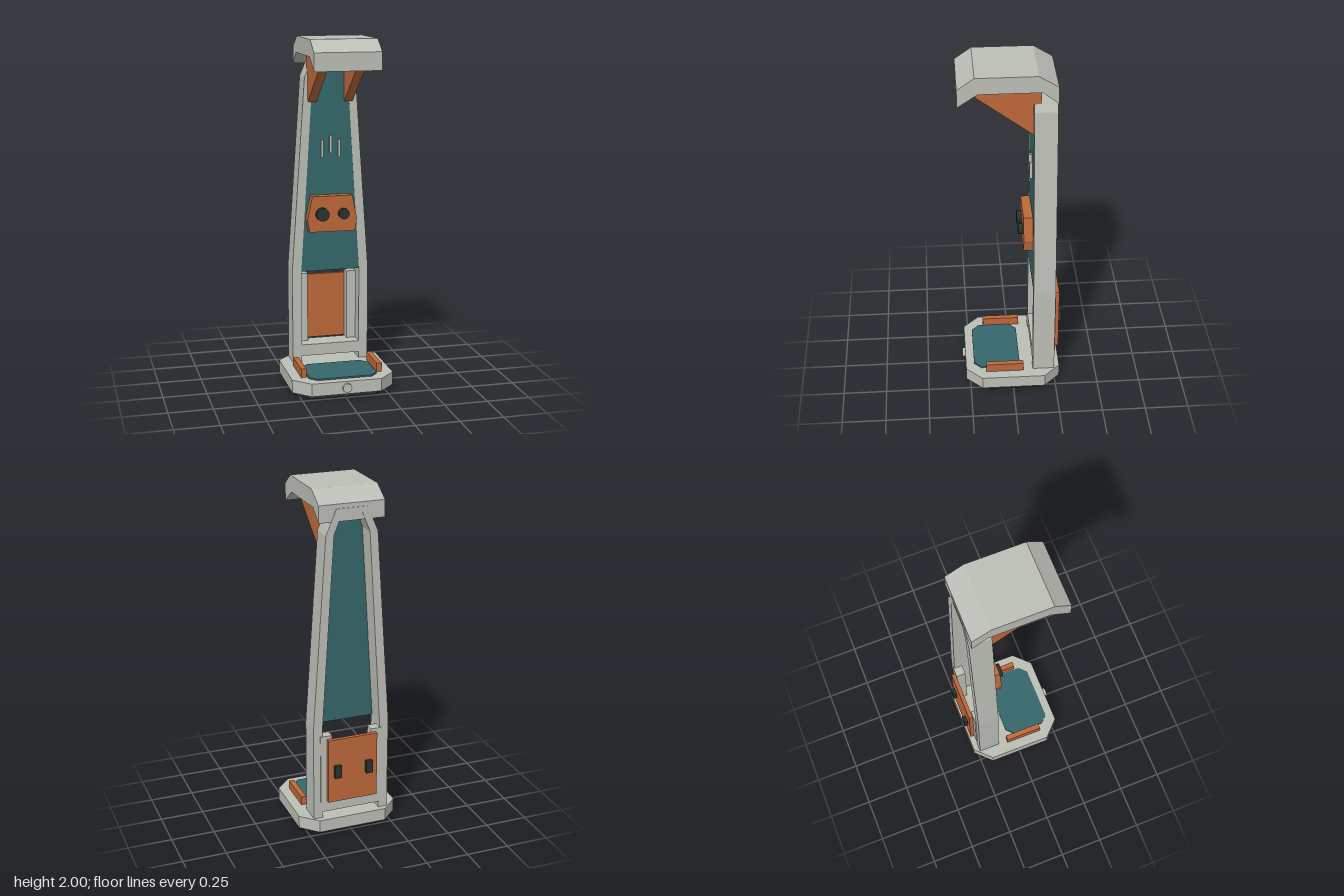
import * as THREE from 'three';

const mat = (name, color) => Object.assign(new THREE.MeshStandardMaterial({ color }), { name });

export function createModel() {
  const root = new THREE.Group();
  root.name = 'stand';
  const shell = mat('warm grey', 0xbcbfb6);
  const accent = mat('burnt orange', 0xbd693a);
  const teal = mat('deep teal', 0x35676b);
  const dark = mat('charcoal', 0x29312f);

  const add = (name, geo, material, x = 0, y = 0, z = 0) => {
    const m = new THREE.Mesh(geo, material);
    m.name = name;
    m.position.set(x, y, z);
    root.add(m);
    return m;
  };
  // box given by its limits on each axis
  const box = (name, material, [x0, x1], [y0, y1], [z0, z1]) =>
    add(name, new THREE.BoxGeometry(x1 - x0, y1 - y0, z1 - z0), material,
      (x0 + x1) / 2, (y0 + y1) / 2, (z0 + z1) / 2);
  const shapeOf = (pts) => new THREE.Shape(pts.map(([x, y]) => new THREE.Vector2(x, y)));
  const extrude = (shape, depth) => new THREE.ExtrudeGeometry(shape, { depth, bevelEnabled: false });
  // right half outline, bottom to top, mirrored into a closed one
  const mirrored = (pts) => [...pts, ...pts.slice().reverse().map(([x, y]) => [-x, y])];
  // front-facing plate from z0 to z1
  const plate = (name, material, shape, z0, z1) => add(name, extrude(shape, z1 - z0), material, 0, 0, z0);
  // side profile (z, y) extruded across x
  const across = (name, material, pts, x0, x1) =>
    add(name, extrude(shapeOf(pts), x1 - x0).rotateY(-Math.PI / 2), material, x1);
  // horizontal slab with cut corners
  const slab = (name, material, hx, hz, cut, y0, y1, zc = 0) =>
    add(name, extrude(shapeOf(mirrored([[hx - cut, -hz], [hx, cut - hz], [hx, hz - cut], [hx - cut, hz]])), y1 - y0)
      .rotateX(-Math.PI / 2), material, 0, y0, zc);
  // round part pointing forwards
  const knob = (name, material, x, y, r, z0, z1) =>
    add(name, new THREE.CylinderGeometry(r, r, z1 - z0, 24).rotateX(Math.PI / 2), material, x, y, (z0 + z1) / 2);

  // base with foot, inset pad and front button
  slab('foot', dark, 0.268, 0.235, 0.085, 0, 0.03);
  slab('base', shell, 0.294, 0.275, 0.092, 0.03, 0.104);
  slab('basePad', teal, 0.198, 0.135, 0.042, 0.104, 0.113, 0.092);
  knob('baseButton', shell, 0, 0.068, 0.026, 0.27, 0.292);

  // tapering frame with its opening
  const front = -0.117, back = -0.243;
  const frame = shapeOf(mirrored([[0.225, 0.14], [0.225, 0.66], [0.148, 1.77], [0.088, 1.91]]));
  frame.holes.push(new THREE.Path(mirrored([[0.172, 0.207], [0.172, 0.65], [0.102, 1.77], [0.058, 1.88]])
    .map(([x, y]) => new THREE.Vector2(x, y))));
  plate('frame', shell, frame, back, front);

  // teal panel filling the upper opening
  plate('frontPanel', teal,
    shapeOf(mirrored([[0.172, 0.65], [0.102, 1.77], [0.058, 1.88]])), front - 0.018, front - 0.001);

  // vent bars on the panel
  for (const i of [-1, 0, 1]) {
    const y = i === 0 ? 1.34 : 1.315;
    box('ventBar', shell, [i * 0.05 - 0.007, i * 0.05 + 0.007], [y, y + 0.1], [front - 0.002, -0.1]);
  }

  // control box with two dials
  plate('controlBox', accent, shapeOf(mirrored([[0.133, 0.89], [0.146, 0.962], [0.117, 1.097]])), front, -0.065);
  knob('largeDial', dark, -0.061, 0.994, 0.038, -0.066, -0.038);
  knob('smallDial', dark, 0.064, 0.994, 0.031, -0.066, -0.038);

  // hood and its front lamp
  across('hood', shell, [[0.29, 1.835], [0.29, 1.935], [0.198, 2], [-0.135, 2], [-0.24, 1.935],
    [-0.24, 1.84], [-0.155, 1.907], [0.182, 1.907]], -0.187, 0.187);
  knob('hoodLamp', shell, 0, 1.88, 0.025, 0.185, 0.212);
  box('lampMount', accent, [-0.08, 0.08], [1.86, 1.907], [0.165, 0.187]);

  // rear hatch
  box('rearHatch', accent, [-0.147, 0.147], [0.21, 0.597], [-0.273, -0.25]);

  // mirrored parts
  for (const s of [-1, 1]) {
    const span = (a, b) => (s > 0 ? [a, b] : [-b, -a]);
    box('leg', shell, span(0.172, 0.225), [0.104, 0.14], [back, front]);
    box('hatchRail', shell, span(0.118, 0.185), [0.205, 0.617], [-0.25, -0.195]);
    box('hatchClip', dark, span(0.074, 0.114), [0.365, 0.44], [-0.295, -0.272]);
    box('sideGuard', accent, span(0.205, 0.236), [0.104, 0.155], [-0.061, 0.157]);
    across('hoodBracket', accent, [[0.192, 1.907], [-0.155, 1.907], [-0.155, 1.81],
      [-0.115, 1.81], [-0.115, 1.63], [0.192, 1.86]], ...span(0.08, 0.13));
  }
  return root;
}
